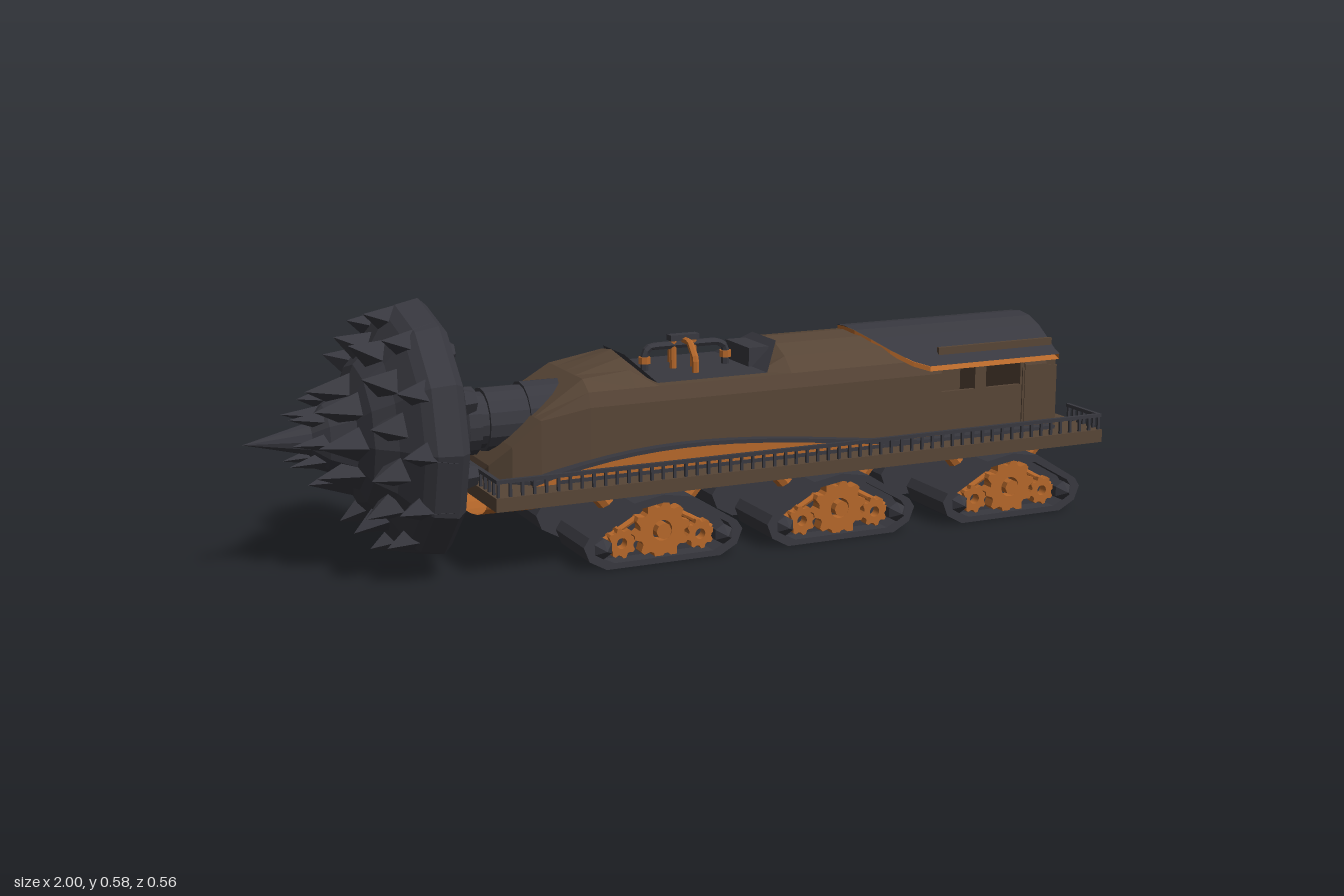
import * as THREE from 'three';
import { mergeGeometries } from 'three/addons/utils/BufferGeometryUtils.js';

const paint = (name, color) => {
  const m = new THREE.MeshStandardMaterial({ color, flatShading: true, side: THREE.DoubleSide });
  m.name = name;
  return m;
};
const V = (x, y, z) => new THREE.Vector3(x, y, z);

// Tapered rod between two points
function rod(a, b, r0, r1 = r0, n = 8) {
  const d = b.clone().sub(a);
  const g = new THREE.CylinderGeometry(r1, r0, d.length(), n);
  g.applyQuaternion(new THREE.Quaternion().setFromUnitVectors(V(0, 1, 0), d.normalize()));
  const c = a.clone().add(b).multiplyScalar(0.5);
  return g.translate(c.x, c.y, c.z);
}
// Box from its bounds
function box(x0, x1, y0, y1, z0, z1) {
  return new THREE.BoxGeometry(x1 - x0, y1 - y0, z1 - z0)
    .translate((x0 + x1) / 2, (y0 + y1) / 2, (z0 + z1) / 2);
}
// Skin over equal-length cross-sections of [x, y, z]
function loft(rings) {
  const n = rings[0].length, index = [];
  for (let i = 0; i < rings.length - 1; i++)
    for (let j = 0; j < n - 1; j++) {
      const a = i * n + j, b = a + n;
      index.push(a, b, a + 1, b, b + 1, a + 1);
    }
  const g = new THREE.BufferGeometry();
  g.setAttribute('position', new THREE.Float32BufferAttribute(rings.flat(2), 3));
  g.setIndex(index);
  g.computeVertexNormals();
  return g;
}
const shapeOf = pts => new THREE.Shape(pts.map(p => new THREE.Vector2(p[0], p[1])));
const slab = (shape, depth, z = 0) =>
  new THREE.ExtrudeGeometry(shape, { depth, bevelEnabled: false, curveSegments: 16 }).translate(0, 0, z);
const mirrored = half => [...half, ...half.slice(0, -1).reverse().map(([z, y]) => [-z, y])];

// Toothed wheel with a round hole
function gear(r, teeth, depth) {
  const pts = [];
  for (let i = 0; i < teeth * 4; i++) {
    const a = (i + 0.5) / (teeth * 4) * Math.PI * 2, q = i % 4 < 2 ? r : r * 0.8;
    pts.push([Math.cos(a) * q, Math.sin(a) * q]);
  }
  const s = shapeOf(pts);
  s.holes.push(new THREE.Path().absarc(0, 0, r * 0.35, 0, Math.PI * 2, true));
  return slab(s, depth);
}

export function createModel() {
  const brown = paint('brown plating', 0x574536);
  const dark = paint('dark iron', 0x38383f);
  const copper = paint('copper', 0xb5672a);
  const root = new THREE.Group();
  const body = new THREE.Group();
  body.name = 'body';
  body.position.z = -0.005;
  root.add(body);
  const add = (parent, name, geo, mat) => {
    const m = new THREE.Mesh(geo, mat);
    m.name = name;
    parent.add(m);
    return m;
  };

  // Drill head: core, tiers of teeth, bolts on the back
  const drill = new THREE.Group();
  drill.name = 'drillHead';
  drill.position.y = 0.3;
  root.add(drill);
  const core = [[-1, 0], [-0.86, 0.035], [-0.83, 0.07], [-0.78, 0.1], [-0.76, 0.15], [-0.72, 0.19],
    [-0.685, 0.25], [-0.665, 0.27], [-0.615, 0.281], [-0.595, 0.263], [-0.55, 0.13], [-0.53, 0.08], [-0.53, 0]];
  add(drill, 'drillCore', new THREE.LatheGeometry(core.map(([x, r]) => new THREE.Vector2(r, x)), 12)
    .rotateZ(-Math.PI / 2), dark);
  const around = (x, r, a) => V(x, r * Math.cos(a), r * Math.sin(a));
  const teeth = [];
  // count, base x, base radius, tip x, tip radius, thickness, turn
  for (const [n, x0, r0, x1, r1, t, turn] of [
    [12, -0.64, 0.225, -0.735, 0.255, 0.055, 0], [12, -0.69, 0.165, -0.785, 0.208, 0.055, 0.5],
    [8, -0.75, 0.09, -0.865, 0.1, 0.05, 0], [6, -0.8, 0.045, -0.91, 0.058, 0.03, 0.5]])
    for (let i = 0; i < n; i++) {
      const a = (i + turn) / n * Math.PI * 2;
      teeth.push(rod(around(x0, r0, a), around(x1, r1, a), t, 0, 4));
    }
  add(drill, 'drillTeeth', mergeGeometries(teeth), dark);
  const bolts = [];
  for (let i = 0; i < 6; i++) {
    const a = i / 6 * Math.PI * 2;
    bolts.push(rod(around(-0.58, 0.158, a), around(-0.54, 0.158, a), 0.035, 0.022, 6));
  }
  add(drill, 'drillBolts', mergeGeometries(bolts), dark);

  // Stepped drive shaft
  for (const [a, b, r] of [[-0.55, -0.5, 0.075], [-0.51, -0.47, 0.062], [-0.48, -0.38, 0.07], [-0.39, -0.27, 0.076]])
    add(root, 'driveShaft', rod(V(a, 0.305, 0), V(b, 0.305, 0), r, r, 16), dark);

  // Deck, dark skirt plate and arched fenders
  add(body, 'deck', box(-0.525, 0.995, 0.155, 0.185, -0.223, 0.223), brown);
  const skirt = new THREE.Shape();
  skirt.moveTo(0.9, -0.166);
  skirt.lineTo(-0.32, -0.166);
  skirt.bezierCurveTo(-0.43, -0.166, -0.49, -0.12, -0.49, 0);
  skirt.bezierCurveTo(-0.49, 0.12, -0.43, 0.166, -0.32, 0.166);
  skirt.lineTo(0.9, 0.166);
  add(body, 'skirt', slab(skirt, 0.008).rotateX(Math.PI / 2).translate(0, 0.193, 0), dark);
  const rise = t => 0.186 + 0.05 * Math.pow(Math.sin(Math.PI * Math.pow(t, 0.75)), 1.2);
  const arc = [...Array(17).keys()].map(i => [-0.42 + 0.94 * i / 16, rise(Math.min(i / 16, 0.9999))]);
  add(body, 'fender', slab(shapeOf([...arc, [0.52, 0.185], [-0.42, 0.185]]), 0.326, -0.163), copper);
  const rim = [...arc, ...arc.map(([x, y]) => [x, y + 0.009]).reverse()];
  add(body, 'fenderRim', slab(shapeOf(rim), 0.336, -0.168), dark);

  // Hull: one arched section, cut off at the given height along its length
  const arch = mirrored([[0.145, 0.185], [0.145, 0.34], [0.135, 0.372], [0.1, 0.405], [0.055, 0.426], [0, 0.434]]);
  const hull = [[-0.5, 0.2, 0.186], [-0.49, 0.55, 0.22], [-0.45, 0.82, 0.265], [-0.39, 0.94, 0.32], [-0.28, 1, 0.395],
    [-0.17, 1, 0.434], [-0.115, 1, 0.374], [0.145, 1, 0.374], [0.21, 1, 0.434], [0.595, 1, 0.434]];
  add(body, 'hull', loft(hull.map(([x, w, top]) => arch.map(([z, y]) => [x, Math.min(y, top), z * w]))), brown);
  add(body, 'cabFrontWall', slab(shapeOf(arch), 0.008).rotateY(Math.PI / 2).translate(0.588, 0, 0), brown);

  // Saddle recess with its pipework
  add(body, 'saddle', loft([[-0.165, 0.06, 0.432], [-0.118, 0.136, 0.379], [0.148, 0.136, 0.379], [0.208, 0.06, 0.434]]
    .map(([x, w, y]) => [[x, y, w], [x, y, -w]])), dark);
  add(body, 'saddleBox', box(0.14, 0.19, 0.375, 0.422, -0.06, 0.06), dark);
  const pipe = (pts, r) => {
    const path = new THREE.CurvePath();
    for (let i = 0; i < pts.length - 1; i++) path.add(new THREE.LineCurve3(pts[i], pts[i + 1]));
    return new THREE.TubeGeometry(path, 24, r, 6);
  };
  add(body, 'longPipe', pipe([V(-0.09, 0.375, 0), V(-0.09, 0.42, 0), V(-0.075, 0.432, 0), V(0.09, 0.432, 0),
    V(0.11, 0.42, 0), V(0.11, 0.375, 0)], 0.009), dark);
  add(body, 'crossPipe', pipe([V(0.005, 0.375, -0.065), V(0.005, 0.41, -0.065), V(0.005, 0.442, -0.035),
    V(0.005, 0.442, 0.035), V(0.005, 0.41, 0.065), V(0.005, 0.375, 0.065)], 0.008), copper);
  for (const x of [-0.09, 0.11])
    add(body, 'pipeCollar', rod(V(x, 0.395, 0), V(x, 0.41, 0), 0.014), copper);
  for (const x of [-0.02, 0.03])
    add(body, 'valve', rod(V(x, 0.375, 0), V(x, 0.45, 0), 0.008), copper);
  add(body, 'valveCap', box(-0.03, 0.04, 0.442, 0.455, -0.012, 0.012), dark);

  // Cab: side walls with two openings, rear locker and back wall
  const wall = shapeOf([[0.59, 0.185], [0.9, 0.185], [0.9, 0.4], [0.59, 0.4]]);
  for (const [a, b] of [[0.6, 0.69], [0.72, 0.815]])
    wall.holes.push(new THREE.Path([[a, 0.295], [a, 0.375], [b, 0.375], [b, 0.295]].map(p => new THREE.Vector2(...p))));
  for (const z of [-0.14, 0.13]) add(body, 'cabSide', slab(wall, 0.01, z), brown);
  add(body, 'rearLocker', box(0.82, 0.915, 0.185, 0.335, -0.143, 0.143), brown);
  add(body, 'lockerLid', box(0.82, 0.912, 0.335, 0.347, -0.141, 0.141), brown);
  add(body, 'cabBackWall', slab(shapeOf(arch), 0.06).rotateY(Math.PI / 2).translate(0.825, 0, 0), brown);

  // Curved roof: dark skin over a copper lining, front edge swept back
  const roofLine = mirrored([[0.172, 0.366], [0.15, 0.376], [0.115, 0.4], [0.08, 0.422], [0.04, 0.438], [0, 0.443]]);
  const frontX = z => 0.415 + 0.13 * (z / 0.17) ** 2;
  const strip = (drop, x) => roofLine.map(([z, y]) => [x ?? frontX(z), y - drop, z]);
  add(body, 'roofSkin', loft([strip(0), strip(0, 0.902)]), dark);
  add(body, 'roofLining', loft([strip(0.001), strip(0.012), strip(0.012, 0.9), strip(0.001, 0.9)]), copper);

  // Railings, with a gap for the rear steps
  const rails = [];
  const rail = (x0, z0, x1, z1, step) => {
    const len = Math.hypot(x1 - x0, z1 - z0), n = Math.max(1, Math.round(len / step));
    for (let i = 0; i <= n; i++) {
      const x = x0 + (x1 - x0) * i / n, z = z0 + (z1 - z0) * i / n;
      rails.push(box(x - 0.003, x + 0.003, 0.185, 0.218, z - 0.003, z + 0.003));
    }
    rails.push(box(Math.min(x0, x1) - 0.005, Math.max(x0, x1) + 0.005, 0.215, 0.223,
      Math.min(z0, z1) - 0.005, Math.max(z0, z1) + 0.005));
  };
  for (const z of [-0.216, 0.216]) rail(-0.518, z, 0.988, z, 0.027);
  rail(0.988, 0.216, 0.988, 0.095, 0.02);
  rail(0.988, 0.025, 0.988, -0.216, 0.02);
  rail(-0.518, -0.216, -0.518, 0.216, 0.027);
  add(body, 'railing', mergeGeometries(rails), dark);

  // Copper keel bowl under the nose
  const bowl = [[-0.52, 0.15, 0.05], [-0.4, 0.16, 0.05], [-0.31, 0.15, 0.045], [-0.23, 0.11, 0.027], [-0.17, 0.05, 0.002]];
  add(body, 'keel', loft(bowl.map(([x, w, d]) => [...Array(11).keys()].map(i => {
    const a = Math.PI * i / 10;
    return [x, 0.157 - d * Math.sin(a), w * Math.cos(a)];
  }))), copper);

  // Six track units with gears, hubs and struts
  const outline = [[-0.188, 0.055], [-0.175, 0.022], [-0.135, 0], [0.135, 0], [0.175, 0.022], [0.188, 0.055],
    [0.175, 0.075], [0.07, 0.14], [0, 0.152], [-0.07, 0.14], [-0.175, 0.075]];
  const inner = outline.map(([x, y]) => [x * 0.87, 0.066 + (y - 0.066) * 0.8]);
  const belt = shapeOf(outline);
  belt.holes.push(new THREE.Path(inner.map(p => new THREE.Vector2(...p))));
  for (const x of [-0.1425, 0.295, 0.7475])
    for (const s of [1, -1]) {
      const unit = new THREE.Group();
      unit.name = 'trackUnit';
      unit.position.x = x;
      unit.rotation.y = s > 0 ? 0 : Math.PI;
      body.add(unit);
      add(unit, 'trackBelt', slab(belt, 0.04, 0.183), dark);
      add(unit, 'trackCore', slab(shapeOf(outline), 0.123, 0.06), dark);
      add(unit, 'driveGear', gear(0.066, 10, 0.03).translate(0, 0.07, 0.183), copper);
      add(unit, 'driveHub', rod(V(0, 0.07, 0.183), V(0, 0.07, 0.222), 0.018), copper);
      for (const k of [-1, 1]) {
        add(unit, 'sideGear', gear(0.034, 8, 0.025).translate(k * 0.093, 0.05, 0.183), copper);
        add(unit, 'rollerArm', rod(V(k * 0.05, 0.1, 0.19), V(k * 0.14, 0.05, 0.19), 0.007), copper);
        add(unit, 'roller', rod(V(k * 0.143, 0.047, 0.183), V(k * 0.143, 0.047, 0.222), 0.023, 0.023, 6), dark);
        add(unit, 'rollerCap', rod(V(k * 0.143, 0.047, 0.222), V(k * 0.143, 0.047, 0.246), 0.023, 0, 6), dark);
        add(unit, 'strut', rod(V(k * 0.07, 0.09, 0.131), V(k * 0.135, 0.165, 0.131), 0.019), copper);
      }
    }
  return root;
}
